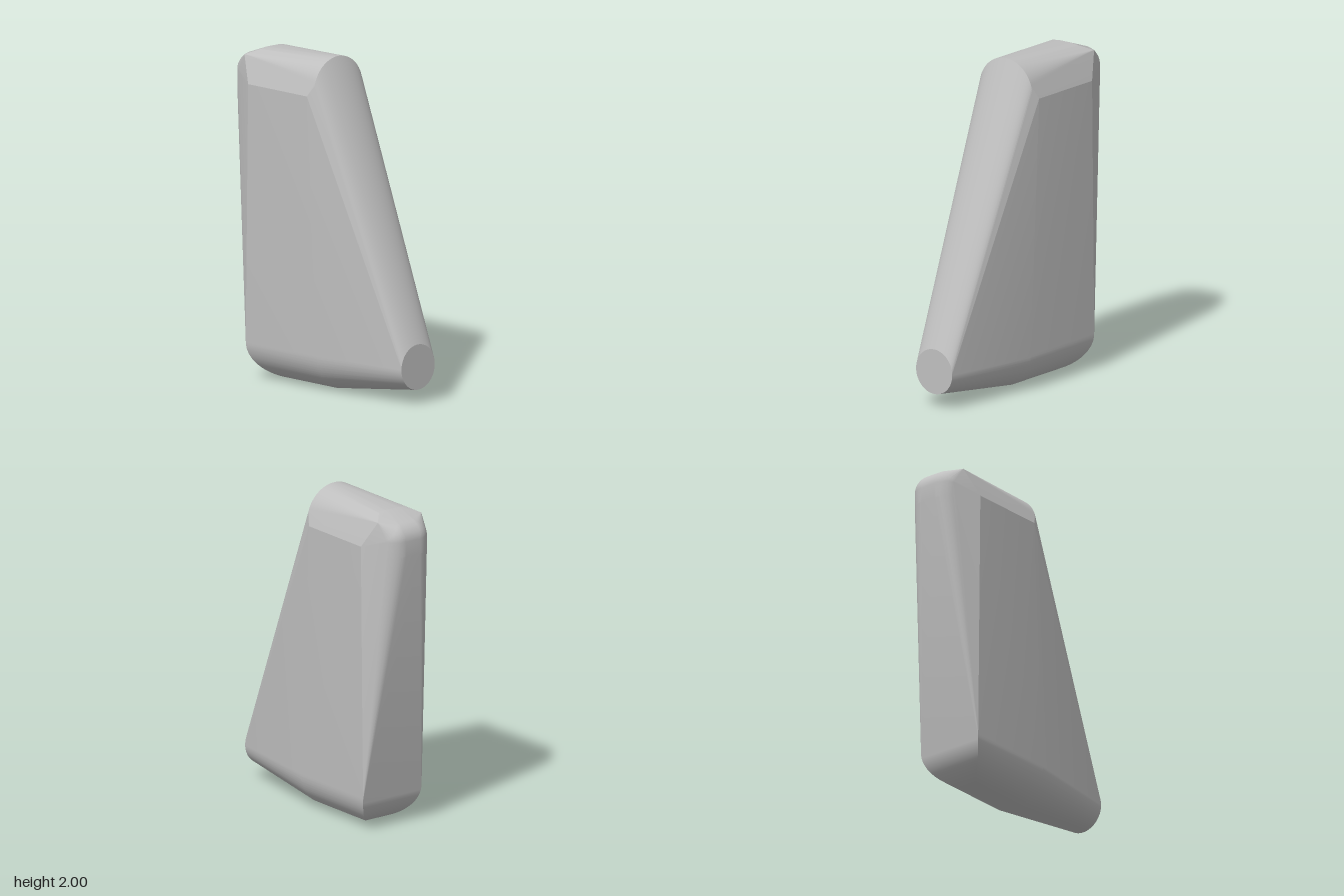
import * as THREE from 'three';
import { toCreasedNormals } from 'three/addons/utils/BufferGeometryUtils.js';
import { ConvexGeometry } from 'three/addons/geometries/ConvexGeometry.js';

export function createModel() {
  const model = new THREE.Group();
  model.name = 'taperedBlade';
  const grey = new THREE.MeshStandardMaterial({ color: 0xbfbfbf });
  grey.name = 'plain grey';

  const points = [];
  const add = (x, y, z) => points.push(new THREE.Vector3(x, y, z));
  const both = (x, y, z) => { add(x, y, z); add(-x, y, z); };
  // arc across x in a plane of constant z
  const arc = (cy, z, r, from, to, steps) => {
    for (let i = 0; i <= steps; i++) {
      const a = from + (to - from) * i / steps;
      add(r * Math.cos(a), cy + r * Math.sin(a), z);
    }
  };

  // round nose, rounded keel and rounded crown
  arc(0.22, 0.72, 0.137, 0, Math.PI * 2, 80);
  arc(0.22, 0.08, 0.22, -Math.PI, 0, 40);
  arc(1.8, 0.04, 0.2, 0, Math.PI, 40);

  // mitred roll at the bottom of the back
  for (let i = 0; i <= 20; i++) {
    const a = i / 20 * Math.PI / 2;
    both(0.22 * Math.cos(a), 0.22 - 0.22 * Math.sin(a), -0.28 - 0.24 * Math.cos(a));
  }

  // upper corners of the flat sides
  both(0.22, 1.78, 0);
  both(0.22, 1.78, -0.5);

  // crown ridge and chamfer corner at the back
  both(0.05, 1.98, -0.52);
  both(0.1, 1.972, -0.52);
  both(0.163, 1.94, -0.59);

  // ball-rounded top corners of the back, with a short upright below
  const n = 15;
  for (let i = 0; i <= n; i++) {
    const a = i / n * Math.PI / 2;
    for (let j = 0; j <= n; j++) {
      const b = j / n * Math.PI / 2;
      both(0.05 + 0.11 * Math.cos(b) * Math.sin(a), 1.83 + 0.11 * Math.sin(b),
        -0.61 - 0.11 * Math.cos(b) * Math.cos(a));
    }
    both(0.05 + 0.11 * Math.sin(a), 1.74, -0.61 - 0.11 * Math.cos(a));
  }

  const body = new THREE.Mesh(toCreasedNormals(new ConvexGeometry(points), 0.14), grey);
  body.name = 'body';
  model.add(body);
  return model;
}
